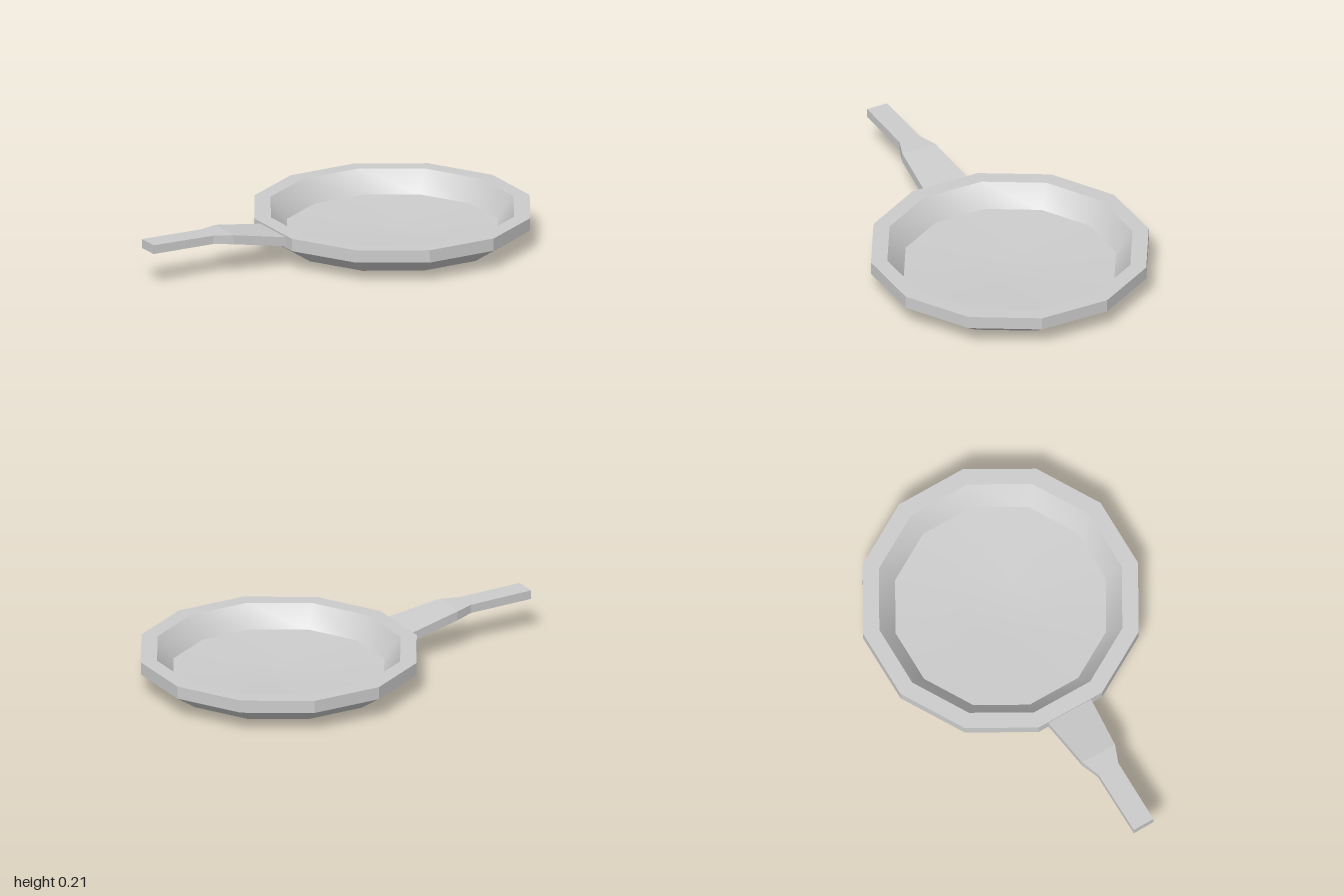
import * as THREE from 'three';
import { toCreasedNormals } from 'three/addons/utils/BufferGeometryUtils.js';

const SIDES = 12;
const flat = new THREE.MeshStandardMaterial({ color: 0xcccccc, flatShading: true });
const smooth = new THREE.MeshStandardMaterial({ color: 0xcccccc });

// Twelve-sided turned shell from [radius, height] pairs
function turned(name, profile, material) {
  const points = profile.map(([r, y]) => new THREE.Vector2(r, y));
  const geometry = toCreasedNormals(new THREE.LatheGeometry(points, SIDES), Math.PI / 6.2);
  const mesh = new THREE.Mesh(geometry, material);
  mesh.name = name;
  mesh.position.x = 0.32;
  return mesh;
}

// Bar lofted through sections: back corner [x, z], front corner [x, z], bottom, top
function loft(sections) {
  const positions = [];
  const index = [];
  for (const [[bx, bz], [fx, fz], low, high] of sections) {
    positions.push(bx, low, bz, fx, low, fz, fx, high, fz, bx, high, bz);
  }
  const quad = (a, b, c, d) => index.push(a, b, c, a, c, d);
  for (let s = 0; s < sections.length - 1; s++) {
    for (let i = 0; i < 4; i++) {
      const j = (i + 1) % 4;
      const a = s * 4;
      quad(a + i, a + 4 + i, a + 4 + j, a + j);
    }
  }
  const e = (sections.length - 1) * 4;
  quad(0, 1, 2, 3);
  quad(e + 3, e + 2, e + 1, e);
  const geometry = new THREE.BufferGeometry();
  geometry.setAttribute('position', new THREE.Float32BufferAttribute(positions, 3));
  geometry.setIndex(index);
  geometry.computeVertexNormals();
  return geometry;
}

export function createModel() {
  const model = new THREE.Group();
  model.name = 'fryingPan';

  // Outer body: shallow base, flared side, upright band and flat rim
  model.add(turned('panBody', [
    [0, 0], [0.16, 0.005], [0.56, 0.024], [0.68, 0.103], [0.68, 0.165], [0.6, 0.165],
  ], flat));

  // Inner wall and slightly dished cooking floor
  model.add(turned('panInside', [
    [0.6, 0.165], [0.52, 0.06], [0.16, 0.042], [0, 0.038],
  ], smooth));

  // Handle, from the narrow tip to the wide root at the band
  const handle = new THREE.Mesh(loft([
    [[-1, 0.295], [-0.97, 0.4], 0.17, 0.214],
    [[-0.68, 0.207], [-0.65, 0.315], 0.165, 0.207],
    [[-0.6, 0.15], [-0.555, 0.325], 0.158, 0.204],
    [[-0.342, 0.05], [-0.28, 0.28], 0.11, 0.155],
  ]), flat);
  handle.name = 'handle';
  model.add(handle);

  return model;
}
